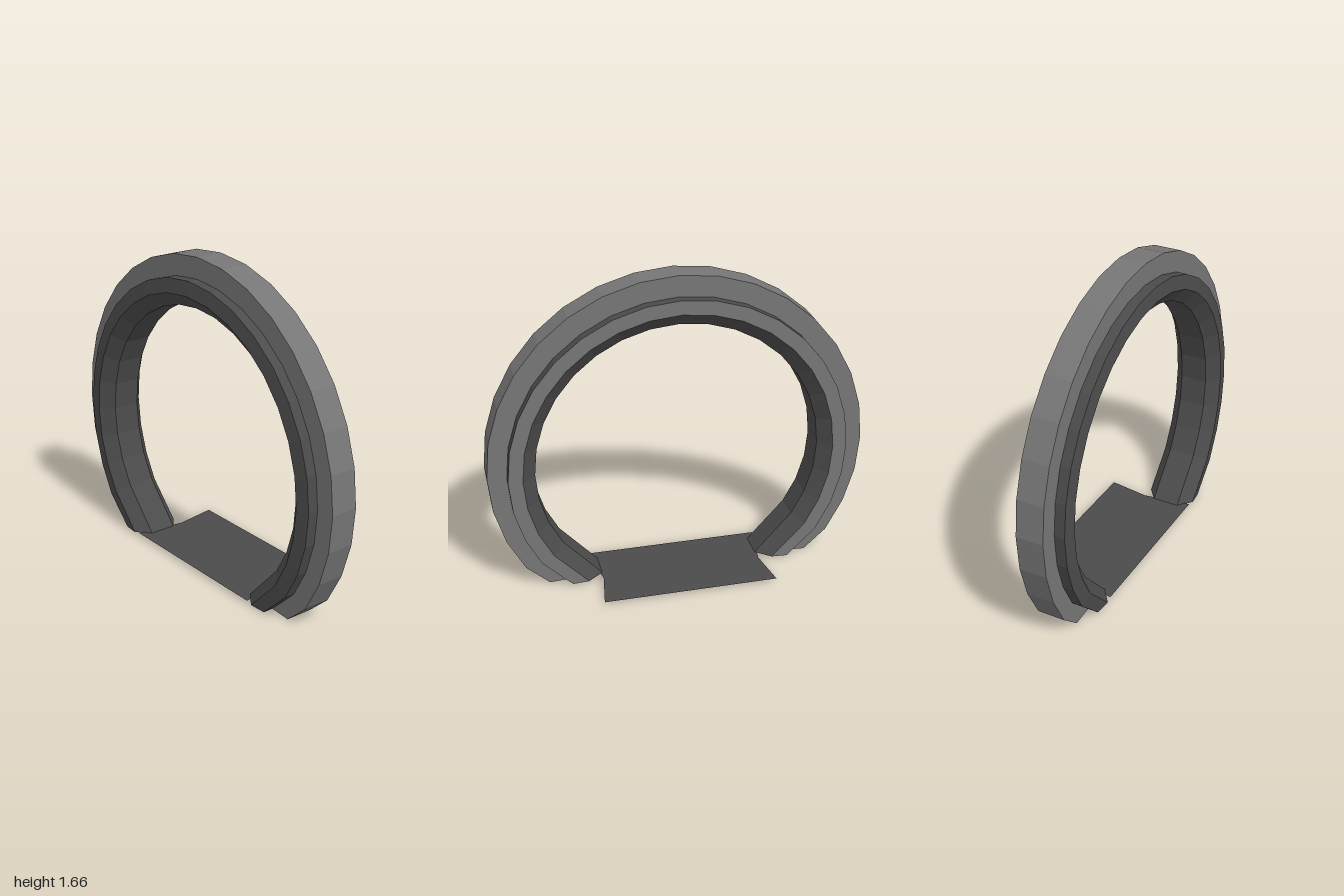
import * as THREE from 'three';

const makeMaterial = (color) =>
  new THREE.MeshStandardMaterial({ color, flatShading: true, side: THREE.DoubleSide });
const light = makeMaterial(0x767676);
const dark = makeMaterial(0x4b4b4b);

// Ring cross-section as (radius, z), counter-clockwise
const section = [
  [1, 0.03], [1, 0.175],          // raised outer band
  [0.9, 0.175], [0.9, 0.23],      // front step
  [0.825, 0.24],                  // front lip
  [0.755, 0.18], [0.755, 0.035],  // inner lining
  [0.825, -0.025],                // back bevel
  [0.9, -0.025], [0.9, 0.03],     // back step
];
const STEPS = 24; // 11.25 degrees each, from -45 to 225 degrees

function ringPoint(r, step) {
  // Both ends are trimmed almost level with the ground
  if (step === 0 || step === STEPS) {
    const x = 0.71 + (r - 1) * 1.16;
    return [step === 0 ? x : -x, (1 - r) * 0.06];
  }
  // The inner rings sit slightly lower than the outer band
  const a = -Math.PI / 4 + (step * Math.PI) / 16;
  const centerY = r === 1 ? 0.665 : 0.655;
  return [r * Math.cos(a), centerY + r * Math.sin(a)];
}

// Sweeps the chosen edges of the section round the arch, optionally closing the ends
function sweep(edges, capped) {
  const positions = [], index = [], n = section.length;
  for (let i = 0; i <= STEPS; i++) {
    for (const [r, z] of section) positions.push(...ringPoint(r, i), z);
  }
  for (let i = 0; i < STEPS; i++) {
    for (const j of edges) {
      const k = (j + 1) % n;
      const a = i * n + j, b = (i + 1) * n + j, c = (i + 1) * n + k, d = i * n + k;
      index.push(a, b, d, b, c, d);
    }
  }
  if (capped) {
    const outline = section.map(([r, z]) => new THREE.Vector2(r, z));
    const end = STEPS * n;
    for (const [a, b, c] of THREE.ShapeUtils.triangulateShape(outline, [])) {
      index.push(a, b, c, end + a, end + c, end + b);
    }
  }
  const g = new THREE.BufferGeometry();
  g.setAttribute('position', new THREE.Float32BufferAttribute(positions, 3));
  g.setIndex(index);
  const flat = g.toNonIndexed();
  flat.computeVertexNormals();
  return flat;
}

// Thin floor plate, narrowest where it leaves the back of the ring
function plateGeometry() {
  const half = [[0.47, 0.235], [0.43, -0.025], [0.465, -0.245]];
  const pts = [...half, ...half.map(([x, z]) => [-x, z]).reverse()];
  const g = new THREE.ShapeGeometry(new THREE.Shape(pts.map(([x, z]) => new THREE.Vector2(x, -z))));
  g.rotateX(-Math.PI / 2);
  g.translate(0, 0.016, 0);
  return g;
}

export function createModel() {
  const group = new THREE.Group();
  const add = (name, geometry, material) => {
    const mesh = new THREE.Mesh(geometry, material);
    mesh.name = name;
    group.add(mesh);
  };
  add('outerBand', sweep([0, 1, 7, 9], true), light); // band, its sides and the back face
  add('innerLining', sweep([2, 3, 4, 5, 6, 8], false), dark);
  add('floorPlate', plateGeometry(), dark);
  return group;
}
